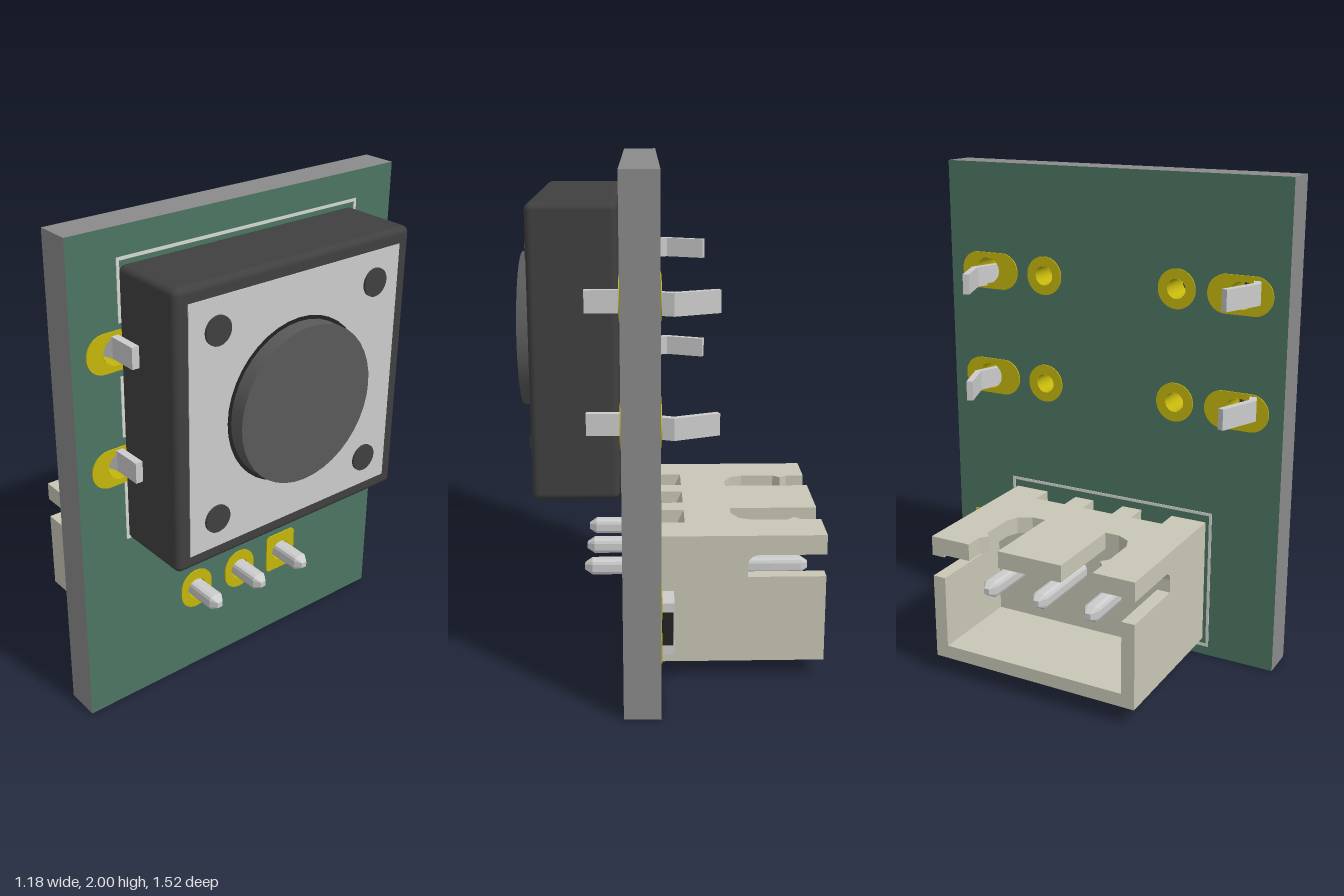
import * as THREE from 'three';
import { RoundedBoxGeometry } from 'three/addons/geometries/RoundedBoxGeometry.js';

const mat = (color, side = THREE.FrontSide) => new THREE.MeshStandardMaterial({ color, side });
const GREEN = mat(0x4d7562), EDGE = mat(0x8a8a8a), GOLD = mat(0xc4b60c, THREE.DoubleSide);
const METAL = mat(0xcccccc), BLACK = mat(0x404040), CAP = mat(0x5a5a5a);
const CREAM = mat(0xc8c6b5), SILK = mat(0xd4d8d0), CHIP = mat(0x222222);

const BX0 = 0.05, BX1 = 0.19;          // board faces
const SY = 1.3225, SZ = 0.02;          // switch centre
const ROWS = [1.09, 1.55], PIN_Y = 0.385, PIN_Z = [-0.228, 0, 0.228];

function add(parent, name, geometry, material) {
  const m = new THREE.Mesh(geometry, material);
  m.name = name;
  parent.add(m);
  return m;
}

function group(parent, name) {
  const g = new THREE.Group();
  g.name = name;
  parent.add(g);
  return g;
}

// Box from its limits on each axis
function box(parent, name, material, x0, x1, y0, y1, z0, z1) {
  const g = new THREE.BoxGeometry(x1 - x0, y1 - y0, z1 - z0);
  g.translate((x0 + x1) / 2, (y0 + y1) / 2, (z0 + z1) / 2);
  return add(parent, name, g, material);
}

// Disc or rod along x
function rod(parent, name, material, r, x0, x1, y, z, open = false) {
  const g = new THREE.CylinderGeometry(r, r, x1 - x0, 40, 1, open).rotateZ(-Math.PI / 2);
  g.translate((x0 + x1) / 2, y, z);
  return add(parent, name, g, material);
}

// Shape drawn in (-z, y), extruded along x
function slabX(shape, x0, x1) {
  return new THREE.ExtrudeGeometry(shape, { depth: x1 - x0, bevelEnabled: false, curveSegments: 20 })
    .rotateY(Math.PI / 2).translate(x0, 0, 0);
}

// Shape drawn in (x, y), extruded along z
function slabZ(shape, z0, z1) {
  return new THREE.ExtrudeGeometry(shape, { depth: z1 - z0, bevelEnabled: false }).translate(0, 0, z0);
}

const poly = (pts) => new THREE.Shape(pts.map(([a, b]) => new THREE.Vector2(a, b)));

function roundRect(u0, u1, v0, v1, r) {
  const s = new THREE.Shape();
  s.absarc(u1 - r, v1 - r, r, 0, Math.PI / 2);
  s.absarc(u0 + r, v1 - r, r, Math.PI / 2, Math.PI);
  s.absarc(u0 + r, v0 + r, r, Math.PI, Math.PI * 1.5);
  s.absarc(u1 - r, v0 + r, r, Math.PI * 1.5, Math.PI * 2);
  s.closePath();
  return s;
}

function circleHole(y, z, r) {
  const p = new THREE.Path();
  p.absarc(-z, y, r, 0, Math.PI * 2, true);
  return p;
}

// Plated holes: y, z, hole radius and pad outline in (-z, y)
function platedHoles() {
  const list = [];
  for (const y of ROWS) for (const s of [-1, 1]) {
    const u = [-s * 0.7, -s * 0.43].sort((a, b) => a - b);
    list.push({ y, z: s * 0.575, r: 0.055, pad: [u[0], u[1], y - 0.077, y + 0.077, 0.076] });
    list.push({ y, z: s * 0.3, r: 0.04, pad: [-s * 0.3 - 0.08, -s * 0.3 + 0.08, y - 0.08, y + 0.08, 0.079] });
  }
  PIN_Z.forEach((z, i) => list.push({ y: PIN_Y, z, r: 0.045,
    pad: [-z - 0.077, -z + 0.077, PIN_Y - 0.088, PIN_Y + 0.088, i === 0 ? 0.02 : 0.076] }));
  return list;
}

function buildBoard(root) {
  const g = group(root, 'circuitBoard');
  const holes = platedHoles();
  const outline = poly([[-0.76, 0], [0.76, 0], [0.76, 2], [-0.76, 2]]);
  holes.forEach((h) => outline.holes.push(circleHole(h.y, h.z, h.r)));
  add(g, 'board', slabX(outline, BX0, BX1), [GREEN, EDGE]);
  for (const h of holes) {
    rod(g, 'holePlating', GOLD, h.r - 0.001, BX0 - 0.004, BX1 + 0.004, h.y, h.z, true);
    const pad = roundRect(...h.pad);
    pad.holes.push(circleHole(h.y, h.z, h.r));
    add(g, 'frontPad', slabX(pad, BX1, BX1 + 0.005), GOLD);
    add(g, 'backPad', slabX(pad, BX0 - 0.005, BX0), GOLD);
  }
  // Printed outline around the switch, broken at the pads
  const w = 0.006, f0 = BX1, f1 = BX1 + 0.003;
  for (const y of [0.765, 1.883]) box(g, 'switchOutline', SILK, f0, f1, y - w, y + w, -0.57, 0.56);
  for (const z of [-0.564, 0.555]) for (const [a, b] of [[0.765, 1.01], [1.2, 1.445], [1.65, 1.883]])
    box(g, 'switchOutline', SILK, f0, f1, a, b, z - w, z + w);
  // Printed outline around the socket
  for (const y of [0.045, 0.635]) box(g, 'socketOutline', SILK, BX0 - 0.003, BX0, y - w, y + w, -0.476, 0.476);
  for (const z of [-0.47, 0.47]) box(g, 'socketOutline', SILK, BX0 - 0.003, BX0, 0.045, 0.635, z - w, z + w);
}

function buildSwitch(root) {
  const g = group(root, 'pushSwitch');
  const body = new RoundedBoxGeometry(0.325, 1.095, 1.09, 3, 0.025);
  add(g, 'switchBody', body.translate(0.3625, SY, SZ), BLACK);
  box(g, 'coverPlate', METAL, 0.5, 0.528, SY - 0.49, SY + 0.49, SZ - 0.49, SZ + 0.49);
  rod(g, 'buttonGap', CHIP, 0.322, 0.5, 0.53, SY, SZ);
  rod(g, 'button', CAP, 0.308, 0.5, 0.59, SY, SZ);
  for (const sy of [-1, 1]) for (const sz of [-1, 1]) {
    rod(g, 'cornerRivet', BLACK, 0.055, 0.5, 0.537, SY + sy * 0.369, SZ + sz * 0.368);
    box(g, 'foot', BLACK, BX1, 0.22, SY + sy * 0.42 - 0.08, SY + sy * 0.42 + 0.08,
      SZ + sz * 0.33 - 0.09, SZ + sz * 0.33 + 0.09);
  }
  // Kinked flat legs: (x, distance from the switch centre line)
  const leg = [[0.32, 0.545], [0.19, 0.545], [0.0, 0.615], [-0.158, 0.553],
    [-0.168, 0.577], [0.0, 0.645], [0.2, 0.575], [0.32, 0.575]];
  for (const s of [-1, 1]) for (const row of [-0.226, 0.226]) {
    const yMid = SY + row + s * 0.021;
    const geo = new THREE.ExtrudeGeometry(poly(leg.map(([x, d]) => [x, -(SZ + s * d)])),
      { depth: 0.083, bevelEnabled: false }).rotateX(-Math.PI / 2).translate(0, yMid - 0.0415, 0);
    add(g, 'leg', geo, METAL);
  }
}

function buildSocket(root) {
  const g = group(root, 'pinSocket');
  const X0 = -0.595, XB = -0.2, Y0 = 0.075, Y1 = 0.6, T = 0.055;
  box(g, 'floor', CREAM, X0, XB, Y0, Y0 + T, -0.45, 0.45);
  // Side walls with an open slot
  const side = new THREE.Shape();
  side.moveTo(X0, Y0);
  side.lineTo(XB, Y0);
  side.lineTo(XB, Y1);
  side.lineTo(X0, Y1);
  side.lineTo(X0, 0.52);
  side.lineTo(-0.34, 0.52);
  side.quadraticCurveTo(-0.29, 0.52, -0.29, 0.475);
  side.lineTo(-0.29, 0.43);
  side.lineTo(X0, 0.43);
  add(g, 'sideWall', slabZ(side, -0.45, -0.45 + T), CREAM);
  add(g, 'sideWall', slabZ(side, 0.45 - T, 0.45), CREAM);
  // Roof with two open slots, inner end rounded on the outer side
  const roof = poly([[XB, -0.45], [XB, 0.45], [X0, 0.45], [X0, 0.275], [-0.52, 0.275], [-0.49, 0.25],
    [-0.46, 0.275], [-0.32, 0.275], [-0.27, 0.255], [-0.24, 0.2], [-0.24, 0.14], [X0, 0.14],
    [X0, -0.14], [-0.24, -0.14], [-0.24, -0.2], [-0.27, -0.255], [-0.32, -0.275], [-0.46, -0.275],
    [-0.49, -0.25], [-0.52, -0.275], [X0, -0.275], [X0, -0.45]]);
  add(g, 'roof', new THREE.ExtrudeGeometry(roof, { depth: 0.07, bevelEnabled: false })
    .rotateX(-Math.PI / 2).translate(0, Y1 - 0.07, 0), CREAM);
  // Back wall: full fingers between sloped notches at the pins
  const full = poly([[XB, Y0], [0.046, Y0], [0.046, Y1], [XB, Y1]]);
  const notch = poly([[XB, Y0], [0.015, Y0], [0.015, 0.46], [-0.05, Y1], [XB, Y1]]);
  const cuts = [-0.45, -0.298, -0.158, -0.07, 0.07, 0.158, 0.298, 0.45];
  for (let i = 0; i < 7; i++)
    add(g, i % 2 ? 'backWallNotch' : 'backWall', slabZ(i % 2 ? notch : full, cuts[i], cuts[i + 1]), CREAM);
  // Square pins with pointed ends
  for (const z of PIN_Z) {
    const tip = roundRect(-0.012, 0.012, -0.012, 0.012, 0.001);
    const pin = new THREE.ExtrudeGeometry(tip, { depth: 0.84, bevelThickness: 0.03, bevelSize: 0.02,
      bevelSegments: 1, curveSegments: 1 }).rotateY(Math.PI / 2).translate(-0.52, PIN_Y + 0.005, z);
    add(g, 'pin', pin, METAL);
  }
}

function buildResistor(root) {
  const g = group(root, 'chipResistor');
  const y = 0.32, z = -0.615;
  box(g, 'resistorBody', CHIP, 0.004, 0.045, y - 0.07, y + 0.07, z - 0.055, z + 0.055);
  for (const s of [-1, 1]) {
    const a = y + s * 0.085, b = y + s * 0.09;
    box(g, 'endCap', METAL, 0, BX0, a - 0.018, a + 0.018, z - 0.056, z + 0.056);
    box(g, 'resistorPad', GOLD, BX0 - 0.005, BX0, b - 0.045, b + 0.045, z - 0.065, z + 0.065);
  }
}

export function createModel() {
  const root = new THREE.Group();
  root.name = 'buttonModule';
  buildBoard(root);
  buildSwitch(root);
  buildSocket(root);
  buildResistor(root);
  return root;
}
